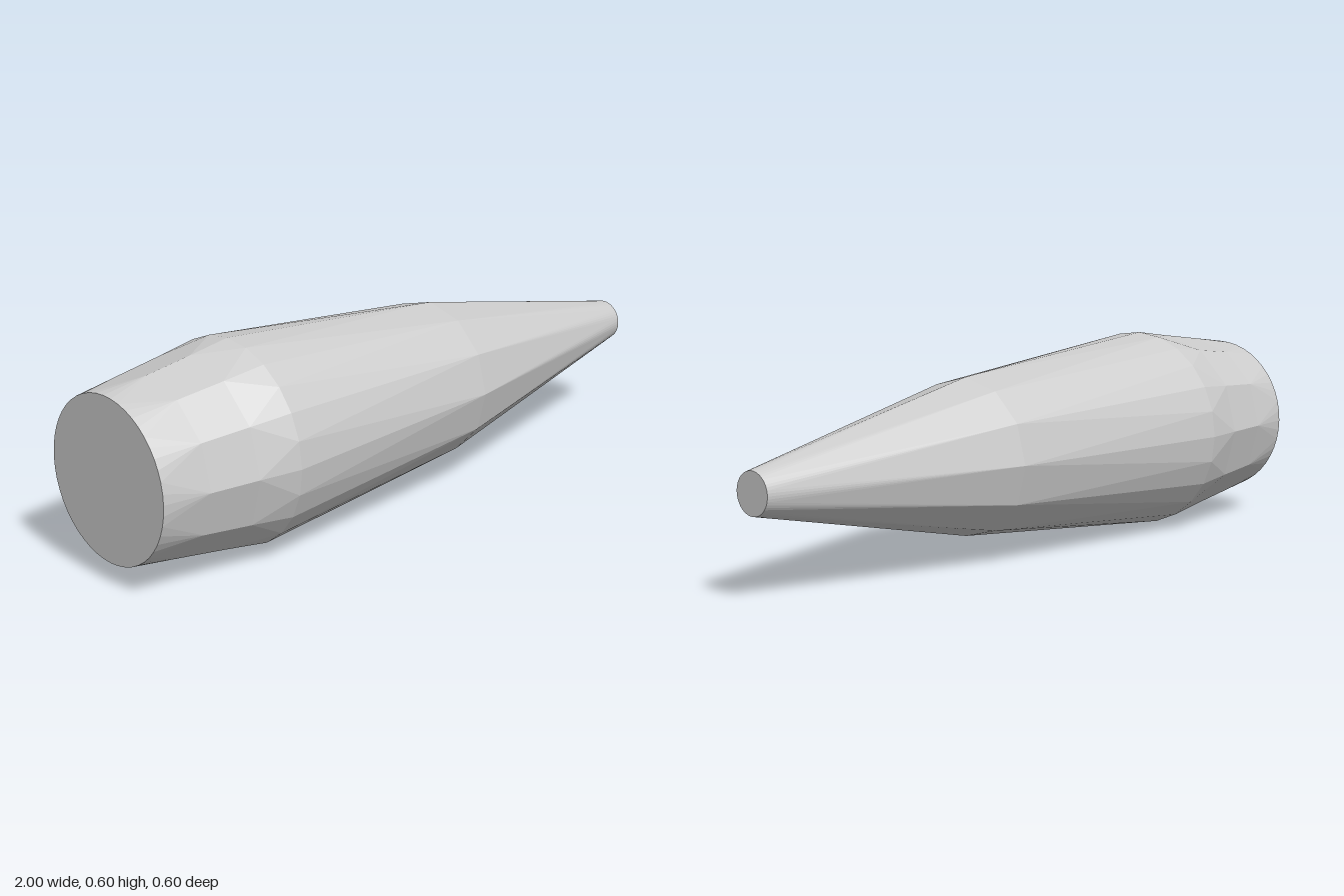
import * as THREE from 'three';

const AXIS_Y = 0.3;

// Cross-sections along x: [x, radius, number of sides]
const RINGS = [
  [-1, 0.238, 48],
  [-0.86, 0.258, 12],
  [-0.71, 0.279, 12],
  [-0.58, 0.299, 24],
  [0.2, 0.231, 12],
  [1, 0.061, 48],
];

function ringPoint([x, r, n], i) {
  const a = (i / n) * Math.PI * 2;
  return [x, r * Math.cos(a), r * Math.sin(a)];
}

// Join two rings whose side counts are multiples of each other with triangle fans
function stitch(out, back, front) {
  const coarseAtBack = back[2] <= front[2];
  const [coarse, fine] = coarseAtBack ? [back, front] : [front, back];
  const k = fine[2] / coarse[2], half = Math.floor(k / 2);
  const tri = (a, b, c, flip) => out.push(...(flip ? [...b, ...a, ...c] : [...a, ...b, ...c]));
  for (let i = 0; i < coarse[2]; i++) {
    const c = ringPoint(coarse, i);
    for (let j = -half; j < k - half; j++) {
      tri(ringPoint(fine, i * k + j), ringPoint(fine, i * k + j + 1), c, coarseAtBack);
    }
    tri(c, ringPoint(coarse, i + 1), ringPoint(fine, i * k + k - half), !coarseAtBack);
  }
}

export function createModel() {
  const group = new THREE.Group();
  const material = new THREE.MeshStandardMaterial({ color: 0xcccccc, flatShading: true });

  // Faceted tapering body
  const positions = [];
  for (let i = 0; i + 1 < RINGS.length; i++) stitch(positions, RINGS[i], RINGS[i + 1]);
  const geometry = new THREE.BufferGeometry();
  geometry.setAttribute('position', new THREE.Float32BufferAttribute(positions, 3));
  geometry.computeVertexNormals();
  const body = new THREE.Mesh(geometry, material);
  body.name = 'body';
  body.position.y = AXIS_Y;
  group.add(body);

  // Flat discs closing both ends
  const addCap = (name, [x, r, n], side) => {
    const cap = new THREE.Mesh(new THREE.CircleGeometry(r, n), material);
    cap.name = name;
    cap.rotation.y = side * Math.PI / 2;
    cap.position.set(x, AXIS_Y, 0);
    group.add(cap);
  };
  addCap('baseCap', RINGS[0], -1);
  addCap('tipCap', RINGS[RINGS.length - 1], 1);

  return group;
}
